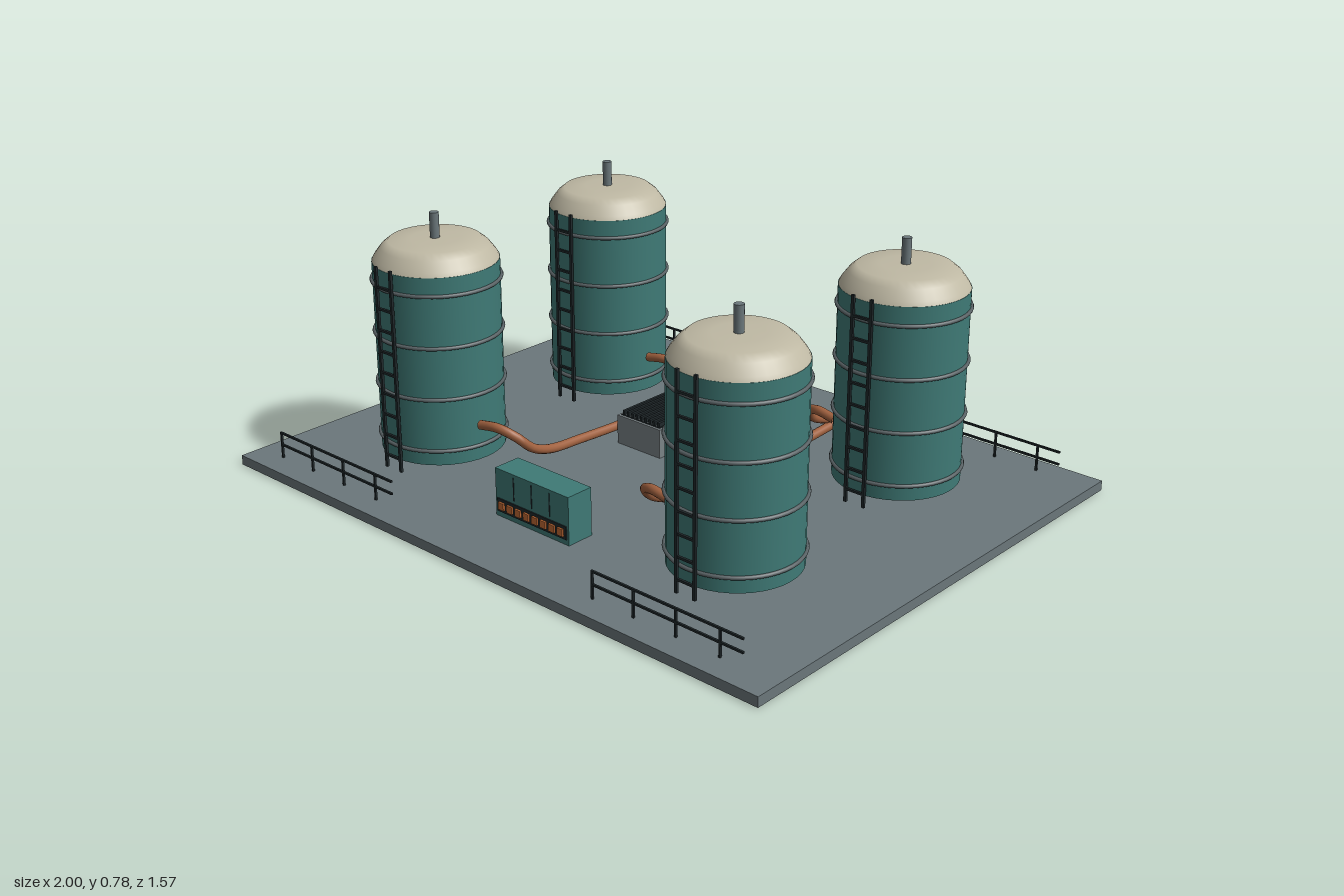
import * as THREE from 'three';

const mat = (name, color) => {
  const m = new THREE.MeshStandardMaterial({ color });
  m.name = name;
  return m;
};

export function createModel() {
  const slabGrey = mat('slab grey', 0x6b777b);
  const teal = mat('teal paint', 0x3f7a76);
  const cream = mat('cream roof', 0xbfb9a4);
  const copper = mat('copper pipe', 0xa0613f);
  const steel = mat('steel', 0x7b8487);
  const bandGrey = mat('band grey', 0x596265);
  const dark = mat('dark metal', 0x20282b);
  const orange = mat('orange', 0xc06a35);

  const model = new THREE.Group();
  model.name = 'tankFarm';

  const add = (parent, name, geo, material, x = 0, y = 0, z = 0) => {
    const m = new THREE.Mesh(geo, material);
    m.name = name;
    m.position.set(x, y, z);
    parent.add(m);
    return m;
  };
  const box = (parent, name, material, w, h, d, x, y, z) =>
    add(parent, name, new THREE.BoxGeometry(w, h, d), material, x, y, z);
  const group = (name, x = 0, y = 0, z = 0) => {
    const g = new THREE.Group();
    g.name = name;
    g.position.set(x, y, z);
    model.add(g);
    return g;
  };

  // Ground slab
  box(model, 'baseSlab', slabGrey, 2, 0.03, 1.57, 0, 0.015, 0);

  // Storage tank with domed roof, vent, hoops and a front ladder
  const R = 0.185;
  const roofPoints = [[R, 0.643], [0.178, 0.657], [0.157, 0.685], [0.135, 0.703], [0.07, 0.706], [0, 0.707]]
    .map(([r, y]) => new THREE.Vector2(r, y));
  function addTank(x, z) {
    const tank = group('tank', x, 0, z);
    add(tank, 'tankBody', new THREE.CylinderGeometry(R, R, 0.575, 40), teal, 0, 0.3575, 0);
    add(tank, 'tankRoof', new THREE.LatheGeometry(roofPoints, 40), cream);
    add(tank, 'roofVent', new THREE.CylinderGeometry(0.014, 0.014, 0.085, 16), slabGrey, 0, 0.74, 0);
    for (const y of [0.115, 0.275, 0.433, 0.59]) {
      const hoop = add(tank, 'hoop', new THREE.TorusGeometry(0.187, 0.006, 8, 48), bandGrey, 0, y, 0);
      hoop.rotation.x = Math.PI / 2;
    }
    for (const s of [-1, 1]) box(tank, 'ladderRail', dark, 0.009, 0.62, 0.008, s * 0.031, 0.35, 0.197);
    for (let i = 0; i < 9; i++) box(tank, 'ladderRung', dark, 0.062, 0.007, 0.007, 0, 0.08 + i * 0.065, 0.197);
  }
  for (const x of [-0.57, 0.57]) for (const z of [-0.358, 0.358]) addTank(x, z);

  // Outlet pipes running from each tank to the back edge
  const frontPath = [[0.37, 0.187, 0.39], [0.30, 0.195, 0.385], [0.25, 0.172, 0.36], [0.235, 0.13, 0.315],
    [0.24, 0.1, 0.24], [0.25, 0.083, 0.1], [0.25, 0.073, -0.12], [0.25, 0.082, -0.35], [0.25, 0.102, -0.72]];
  const backPath = [[0.37, 0.187, -0.328], [0.30, 0.195, -0.335], [0.25, 0.172, -0.36], [0.235, 0.13, -0.405],
    [0.243, 0.105, -0.48], [0.25, 0.1, -0.56], [0.25, 0.102, -0.72]];
  for (const s of [-1, 1]) {
    for (const path of [frontPath, backPath]) {
      const curve = new THREE.CatmullRomCurve3(path.map(([x, y, z]) => new THREE.Vector3(s * x, y, z)));
      add(model, 'outletPipe', new THREE.TubeGeometry(curve, 64, 0.014, 12), copper);
    }
    const end = add(model, 'pipeEnd', new THREE.CircleGeometry(0.014, 12), copper, s * 0.25, 0.102, -0.72);
    end.rotation.y = Math.PI;
  }

  // Pump units with slatted tops
  for (const s of [-1, 1]) {
    const pump = group('pumpUnit', s * 0.143, 0, -0.148);
    box(pump, 'pumpHousing', steel, 0.172, 0.092, 0.222, 0, 0.076, 0);
    box(pump, 'grilleBed', dark, 0.155, 0.002, 0.205, 0, 0.123, 0);
    for (let i = 0; i < 9; i++) box(pump, 'grilleSlat', dark, 0.009, 0.014, 0.2, (i - 4) * 0.0175, 0.13, 0);
    for (let i = 0; i < 8; i++) box(pump, 'grilleGap', steel, 0.003, 0.003, 0.2, (i - 3.5) * 0.0175, 0.1245, 0);
  }

  // Control cabinet with a row of indicator tabs
  const cabinet = group('controlCabinet', -0.002, 0, 0.5);
  box(cabinet, 'cabinetBody', teal, 0.285, 0.145, 0.088, 0, 0.1025, 0);
  box(cabinet, 'indicatorPanel', dark, 0.27, 0.04, 0.004, 0, 0.066, 0.045);
  for (let i = 0; i < 8; i++) box(cabinet, 'indicator', orange, 0.021, 0.022, 0.008, (i - 3.5) * 0.033, 0.066, 0.049);
  for (const x of [-0.07, 0, 0.07]) box(cabinet, 'doorSeam', dark, 0.003, 0.07, 0.002, x, 0.13, 0.0445);

  // Guard rails along the front and back edges
  for (const z of [-0.718, 0.71]) {
    for (const x0 of [-0.896, 0.39]) {
      const rail = group('guardRail', x0, 0, z);
      for (const y of [0.072, 0.11]) box(rail, 'railBar', dark, 0.505, 0.006, 0.006, 0.25, y, 0);
      for (let i = 0; i < 4; i++) box(rail, 'railPost', dark, 0.006, 0.084, 0.006, i * 0.143, 0.07, 0);
    }
  }
  return model;
}
